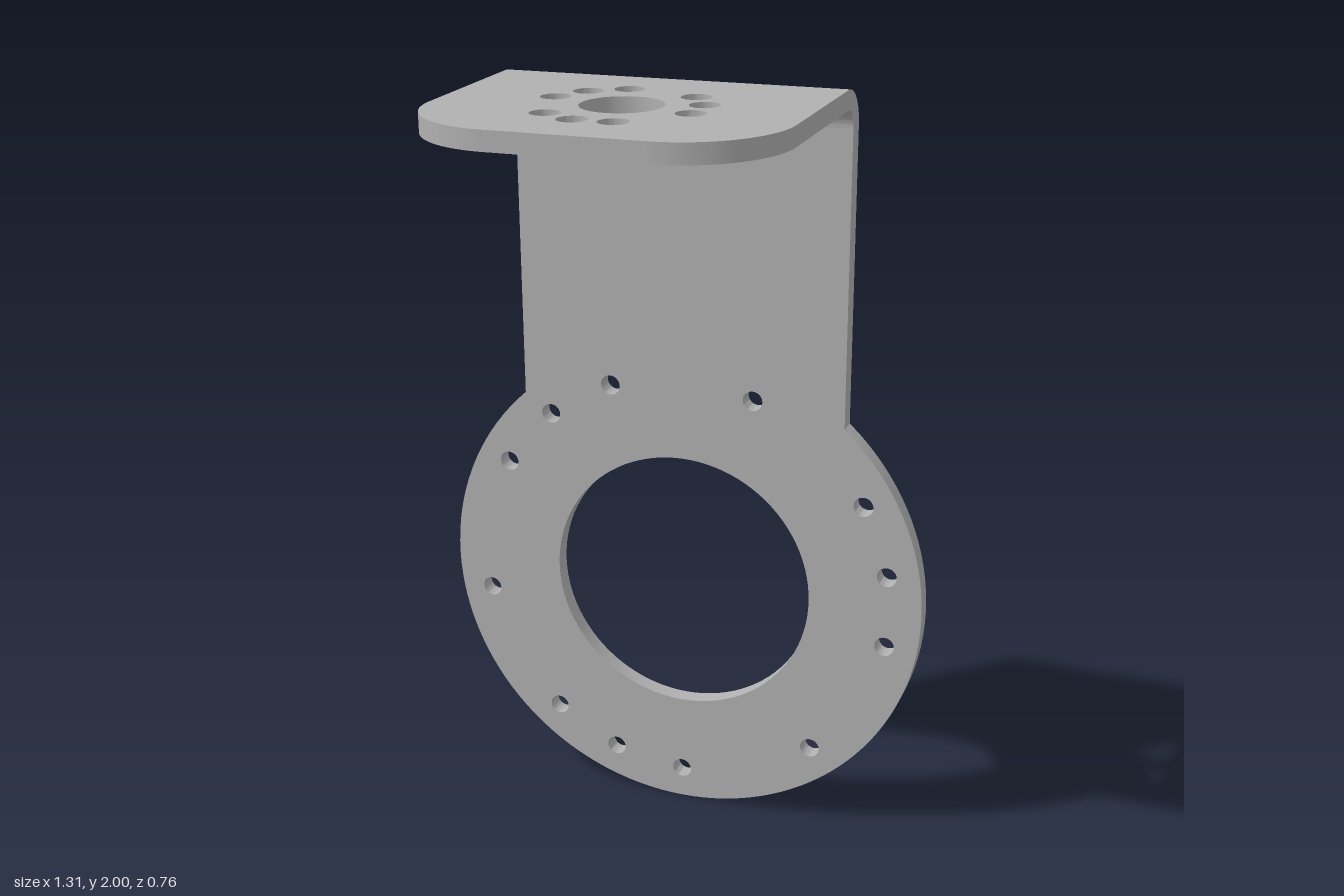
import * as THREE from 'three';
import { toCreasedNormals } from 'three/addons/utils/BufferGeometryUtils.js';

const T = 0.048;        // sheet thickness
const W = 0.436;        // half width of the tab
const R = 0.653;        // outer radius of the ring
const H = 1.34;         // top of the bracket above the ring centre
const BEND = 0.1;       // outer bend radius
const BACK = -0.38, FRONT = 0.38;
const rad = THREE.MathUtils.degToRad;

function addHole(shape, x, y, r) {
  const hole = new THREE.Path();
  hole.absarc(x, y, r, 0, Math.PI * 2, true);
  shape.holes.push(hole);
}

// Holes on a bolt circle, at the given angles in degrees
function addBoltCircle(shape, cx, cy, radius, r, angles) {
  for (const a of angles) {
    addHole(shape, cx + radius * Math.cos(rad(a)), cy + radius * Math.sin(rad(a)), r);
  }
}

function extrude(shape, depth, curveSegments) {
  return new THREE.ExtrudeGeometry(shape, { depth, bevelEnabled: false, curveSegments });
}

export function createModel() {
  const steel = new THREE.MeshStandardMaterial({ color: 0xb0b0b0 });
  steel.name = 'grey metal';

  const model = new THREE.Group();
  model.name = 'motorBracket';
  const bracket = new THREE.Group();
  bracket.name = 'bracket';
  bracket.position.y = R;
  bracket.rotation.z = 0.0137;   // slight lean about the ring centre
  model.add(bracket);

  const addPart = (name, geometry) => {
    const mesh = new THREE.Mesh(toCreasedNormals(geometry, rad(35)), steel);
    mesh.name = name;
    bracket.add(mesh);
  };

  // Upright plate: ring with a tab rising to the bend
  const corner = Math.acos(W / R);
  const plate = new THREE.Shape();
  plate.moveTo(W, H - BEND);
  plate.lineTo(-W, H - BEND);
  plate.absarc(0, 0, R, Math.PI - corner, Math.PI * 2 + corner, false);
  plate.closePath();
  addHole(plate, 0, 0, 0.353);
  addBoltCircle(plate, 0, 0, 0.567, 0.026,
    [10, 30, 70, 110, 130, 150, 190, 230, 250, 270, 310, 350]);
  addPart('uprightPlate', extrude(plate, T, 48).translate(0, 0, BACK));

  // Rounded bend, a quarter-ring profile run across the width
  const profile = new THREE.Shape();
  profile.absarc(-BACK - BEND, H - BEND, BEND, 0, Math.PI / 2, false);
  profile.absarc(-BACK - BEND, H - BEND, BEND - T, Math.PI / 2, 0, true);
  profile.closePath();
  addPart('bend', extrude(profile, 2 * W, 16).rotateY(Math.PI / 2).translate(-W, 0, 0));

  // Top flange with two rounded front corners
  const c = 0.25;
  const flange = new THREE.Shape();
  flange.moveTo(W, -BACK - BEND);
  flange.lineTo(-W, -BACK - BEND);
  flange.absarc(-W + c, -FRONT + c, c, Math.PI, Math.PI * 1.5, false);
  flange.absarc(W - c, -FRONT + c, c, Math.PI * 1.5, Math.PI * 2, false);
  flange.closePath();
  addHole(flange, -0.002, -0.037, 0.098);
  addBoltCircle(flange, -0.002, -0.037, 0.187, 0.036,
    [-14, 16, 46, 106, 136, 166, 226, 256, 286]);
  addPart('topFlange', extrude(flange, T, 24).rotateX(-Math.PI / 2).translate(0, H - T, 0));

  return model;
}
